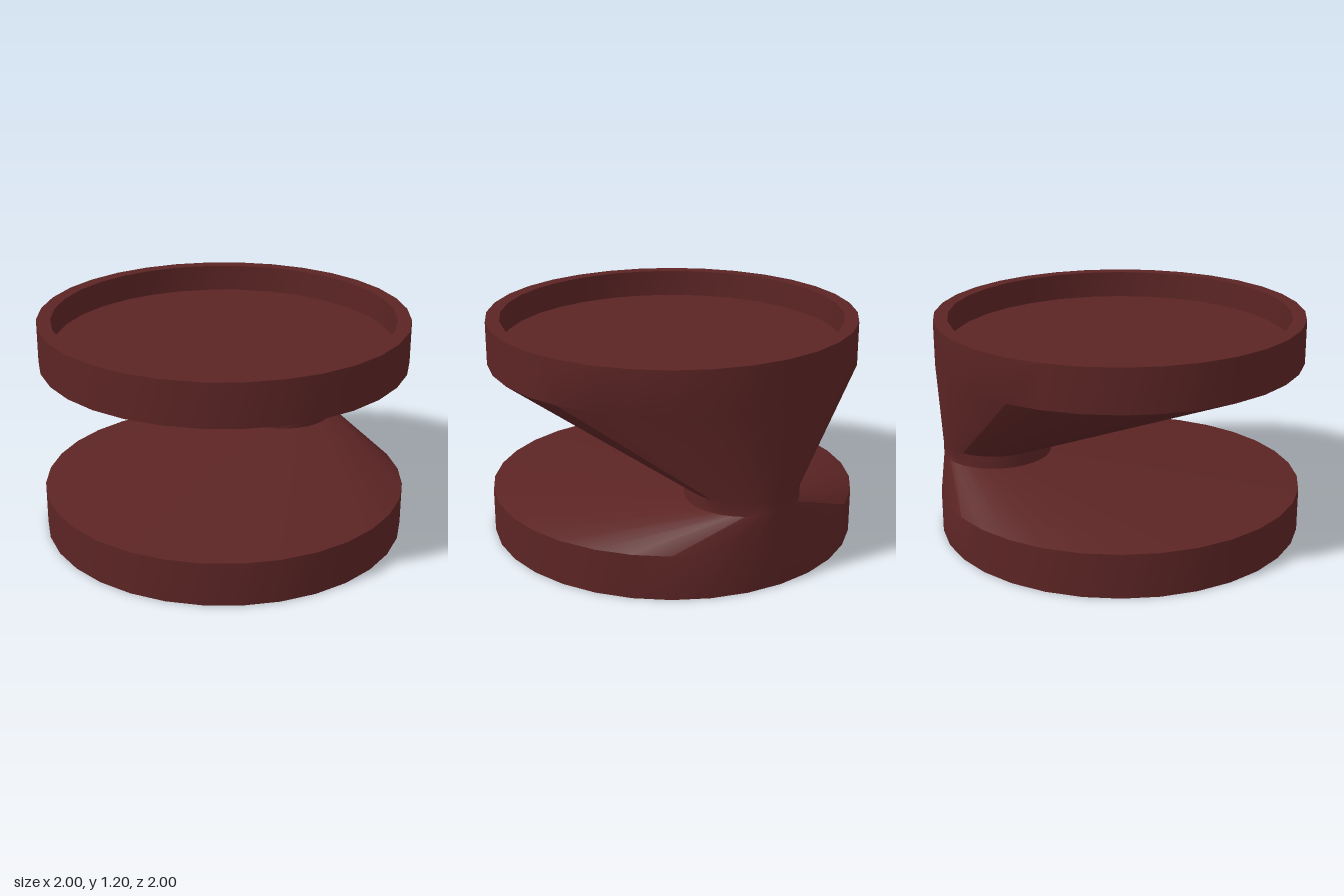
import * as THREE from 'three';
import { toCreasedNormals } from 'three/addons/utils/BufferGeometryUtils.js';

const SIDES = 32;

// Skin a stack of circular sections [radius, y, centreX, centreZ], bottom to top.
function loft(sections) {
  const points = [];
  const index = [];
  for (const [r, y, cx = 0, cz = 0] of sections) {
    for (let j = 0; j < SIDES; j++) {
      const a = (j / SIDES) * Math.PI * 2;
      points.push(cx + r * Math.cos(a), y, cz + r * Math.sin(a));
    }
  }
  for (let i = 0; i < sections.length - 1; i++) {
    for (let j = 0; j < SIDES; j++) {
      const k = (j + 1) % SIDES;
      const a = i * SIDES + j, b = i * SIDES + k;
      const c = a + SIDES, d = b + SIDES;
      // A zero radius closes the end as a fan
      if (sections[i][0] > 0) index.push(a, c, b);
      if (sections[i + 1][0] > 0) index.push(b, c, d);
    }
  }
  const geometry = new THREE.BufferGeometry();
  geometry.setAttribute('position', new THREE.Float32BufferAttribute(points, 3));
  geometry.setIndex(index);
  return toCreasedNormals(geometry, THREE.MathUtils.degToRad(38));
}

export function createModel() {
  const group = new THREE.Group();
  group.name = 'dishStand';
  const maroon = new THREE.MeshStandardMaterial({ color: 0x5c2424 });
  maroon.name = 'maroon';

  const neck = [0.503, -0.468]; // off-centre axis of the narrow waist

  const body = new THREE.Mesh(loft([
    [0, 0], [1, 0], [1, 0.24],                    // base disc
    [0.298, 0.4, ...neck], [0.298, 0.47, ...neck], // waist
    [1, 0.965], [1, 1.2],                         // upper disc
    [0.925, 1.2], [0.925, 1.05], [0, 1.05],       // rim and recessed floor
  ]), maroon);
  body.name = 'dishBody';
  group.add(body);
  return group;
}
